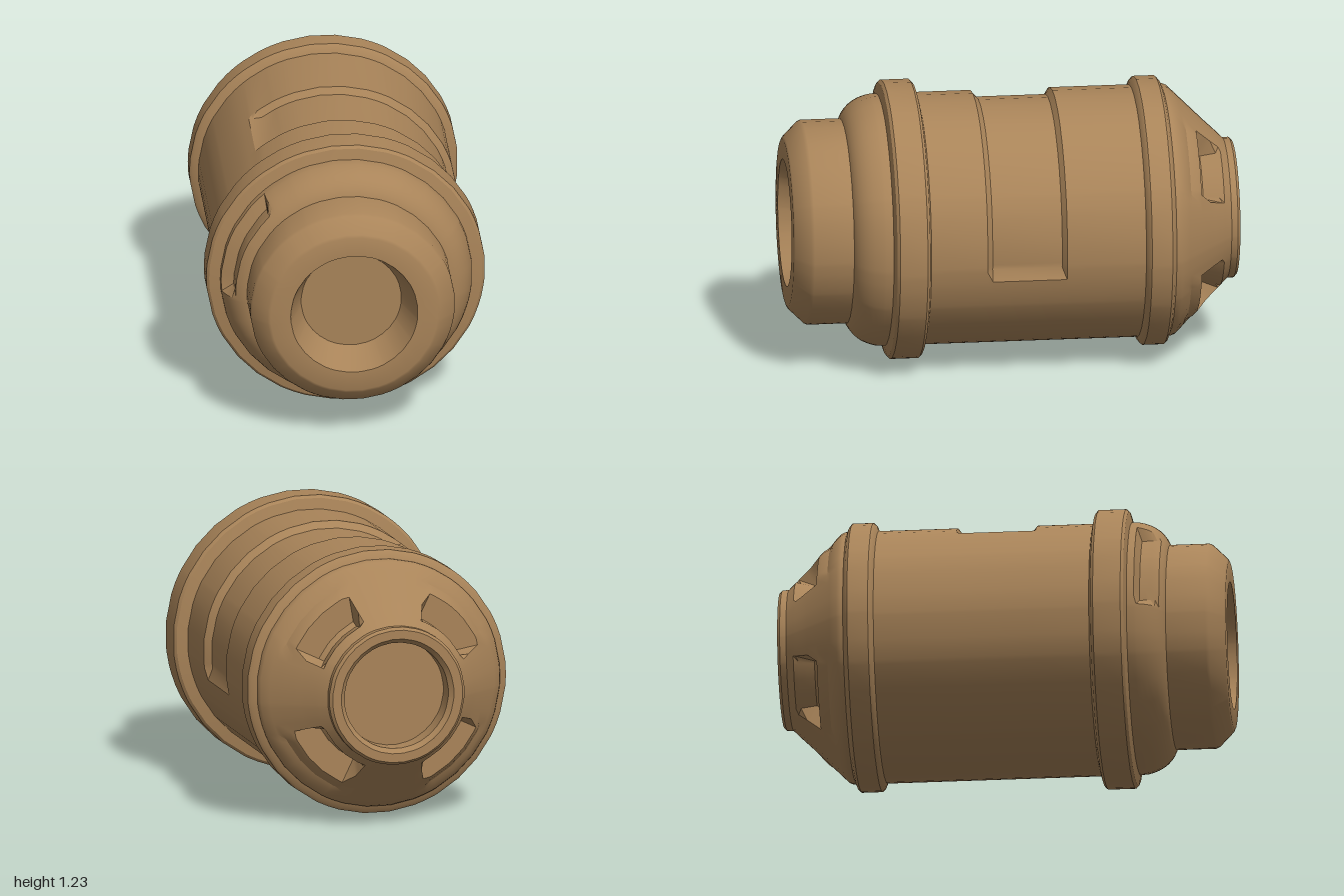
import * as THREE from 'three';
import { toCreasedNormals } from 'three/addons/utils/BufferGeometryUtils.js';

const rad = THREE.MathUtils.degToRad;

// Angular windows in degrees: [start, end, width of the sloped ends]
const barrelWindow = [[-13, 131, 5]];
const domeWindow = [[131, 184, 4]];
const pocketWindows = [45, 135, 225, 315].map(a => [a - 23, a + 23, 4]);

// Shared angles: 32 sides plus the edges of every window
const angleSet = new Set();
for (let i = 0; i < 32; i++) angleSet.add((i + 0.5) * 360 / 32);
for (const [a, b, s] of [...barrelWindow, ...domeWindow, ...pocketWindows])
  for (const v of [a, a + s, b - s, b]) angleSet.add((v + 360) % 360);
const angles = [...angleSet].sort((a, b) => a - b);
angles.push(angles[0] + 360);

// 0 outside all windows, 1 inside, sloping at the ends
function cutAmount(angle, windows) {
  let t = 0;
  for (const [a, b, s] of windows) {
    const d = (((angle - a) % 360) + 360) % 360;
    t = Math.max(t, Math.min(1, d / s, (b - a - d) / s));
  }
  return t;
}

// Turned surface about z. Points run back to front as [r, z] or [r, z, cutR, cutZ].
function turned(points, windows = []) {
  const pos = [], index = [], n = points.length;
  angles.forEach((deg, i) => {
    const t = cutAmount(deg, windows), c = Math.cos(rad(deg)), s = Math.sin(rad(deg));
    points.forEach(([r, z, r2 = r, z2 = z], j) => {
      const R = r + (r2 - r) * t;
      pos.push(R * c, R * s, z + (z2 - z) * t);
      if (i && j) {
        const b = i * n + j, a = b - n;
        index.push(a - 1, b - 1, b, a - 1, b, a);
      }
    });
  });
  const g = new THREE.BufferGeometry();
  g.setAttribute('position', new THREE.Float32BufferAttribute(pos, 3));
  g.setIndex(index);
  return toCreasedNormals(g, 0.55);
}

// Raised band with bevelled edges
const band = (r, z0, z1) => [
  [0.555, z0], [r - 0.012, z0 + 0.012], [r, z0 + 0.024],
  [r, z1 - 0.024], [r - 0.012, z1 - 0.012], [0.555, z1],
];

export function createModel() {
  const group = new THREE.Group();
  const bronze = new THREE.MeshStandardMaterial({ color: 0xa98459 });
  bronze.name = 'bronze';
  const add = (name, points, windows) => {
    const mesh = new THREE.Mesh(turned(points, windows), bronze);
    mesh.name = name;
    mesh.position.y = 0.618;
    group.add(mesh);
  };

  // Rear socket and rim
  add('rearSocket', [
    [0, -0.9], [0.24, -0.9], [0.24, -0.98], [0.26, -1], [0.3, -1], [0.312, -0.988], [0.312, -0.96],
  ]);

  // Rear cone with four stepped pockets
  add('rearCone', [
    [0.312, -0.96], [0.345, -0.927],
    [0.355, -0.917, 0.34, -0.905],
    [0.39, -0.88, 0.325, -0.835],
    [0.41, -0.86, 0.345, -0.815],
    [0.455, -0.815, 0.462, -0.815],
    [0.47, -0.8, 0.478, -0.798],
    [0.505, -0.765, 0.495, -0.765],
    [0.52, -0.75], [0.552, -0.718], [0.56, -0.7], [0.56, -0.66],
  ], pocketWindows);

  add('rearCollar', band(0.597, -0.69, -0.55));

  // Main barrel with a shallow recess wrapped part way round
  add('barrel', [
    [0.56, -0.6], [0.56, -0.2], [0.56, -0.18, 0.53, -0.18],
    [0.56, 0.13, 0.53, 0.13], [0.56, 0.155], [0.56, 0.45],
  ], barrelWindow);

  add('frontCollar', band(0.62, 0.405, 0.575));

  // Rounded shoulder with a notch
  const shoulder = [[0.56, 0.53], [0.56, 0.58], [0.559, 0.606], [0.557, 0.616, 0.505, 0.628]];
  for (let i = 2; i <= 10; i++) {
    const a = (i / 10) * Math.PI / 2;
    const r = 0.42 + 0.14 * Math.cos(a), z = 0.58 + 0.165 * Math.sin(a);
    shoulder.push([r, z, Math.min(r, 0.505), Math.max(z, 0.635)]);
  }
  add('frontShoulder', shoulder, domeWindow);

  // Front nozzle with a tapered bore
  add('frontNozzle', [
    [0.455, 0.7], [0.455, 0.915], [0.448, 0.93], [0.385, 0.994], [0.372, 1],
    [0.283, 1], [0.223, 0.84], [0, 0.84],
  ]);
  return group;
}
